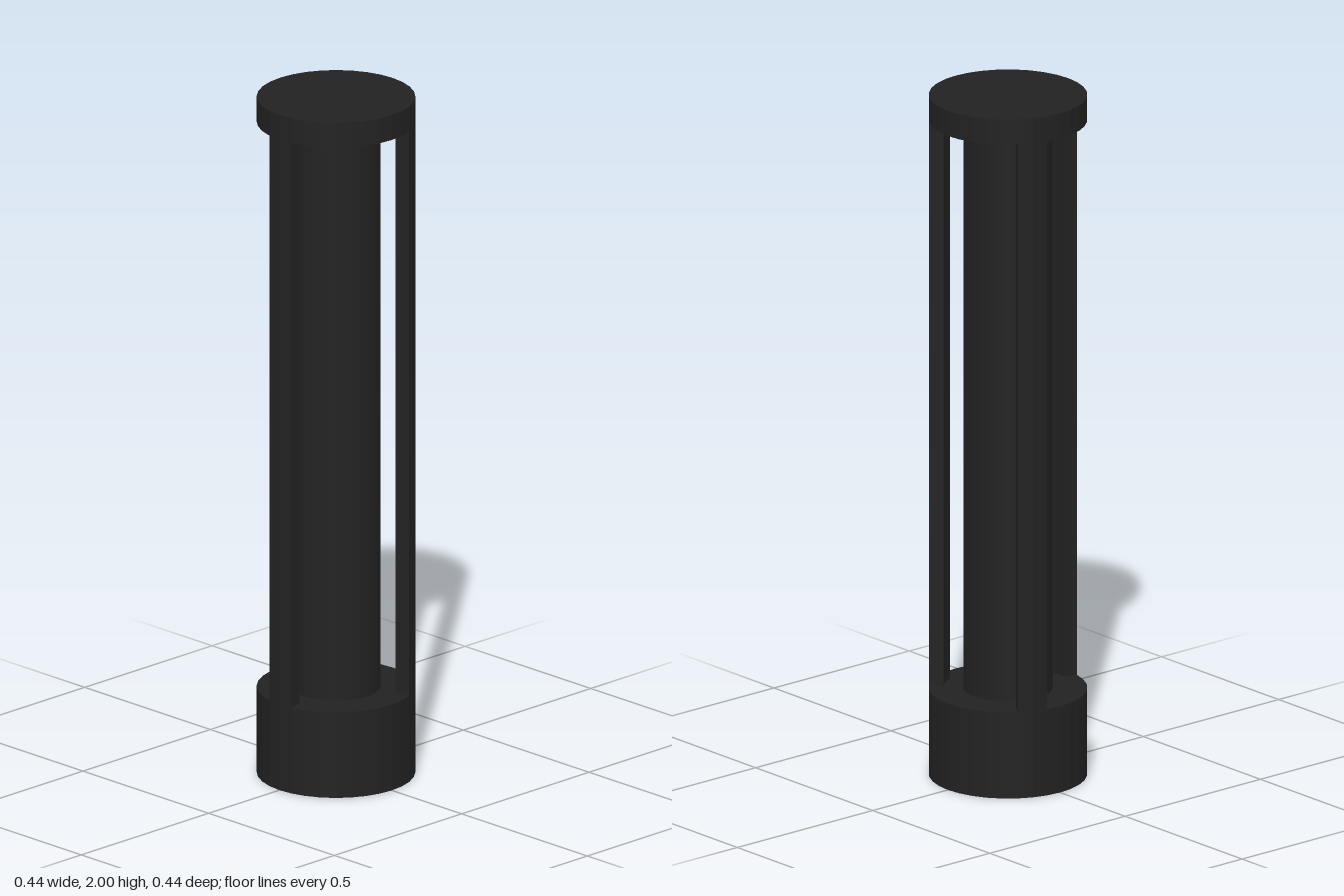
import * as THREE from 'three';

const SIDES = 32;
const STEP = (Math.PI * 2) / SIDES;
const OUTER = 0.222, BAR_INNER = 0.181, CORE = 0.125;
const BASE_TOP = 0.254, CAP_BOTTOM = 1.926, TOP = 2;

export function createModel() {
  const model = new THREE.Group();
  model.name = 'cagedPillar';
  const charcoal = new THREE.MeshStandardMaterial({ color: 0x222222, flatShading: true });
  charcoal.name = 'charcoal';

  const add = (name, geometry) => {
    const mesh = new THREE.Mesh(geometry, charcoal);
    mesh.name = name;
    model.add(mesh);
  };

  // Upright cylinder between two heights
  const drum = (name, radius, y0, y1) =>
    add(name, new THREE.CylinderGeometry(radius, radius, y1 - y0, SIDES).translate(0, (y0 + y1) / 2, 0));

  // Upright bar covering two facets of the outer ring, from facet index `first`
  const bar = (name, first) => {
    const point = (r, i) => new THREE.Vector2(r * Math.cos(i * STEP), -r * Math.sin(i * STEP));
    const steps = [first, first + 1, first + 2];
    const outline = [
      ...steps.map((i) => point(OUTER, i)),
      ...steps.reverse().map((i) => point(BAR_INNER, i)),
    ];
    const geometry = new THREE.ExtrudeGeometry(new THREE.Shape(outline), {
      depth: CAP_BOTTOM - BASE_TOP, bevelEnabled: false,
    });
    add(name, geometry.rotateX(-Math.PI / 2).translate(0, BASE_TOP, 0));
  };

  drum('base', OUTER, 0, BASE_TOP);
  drum('core', CORE, BASE_TOP, CAP_BOTTOM);
  drum('cap', OUTER, CAP_BOTTOM, TOP);

  // Three bars set round the ring, almost evenly
  bar('frontBar', 4);
  bar('sideBar', 15);
  bar('backBar', 25);

  return model;
}
